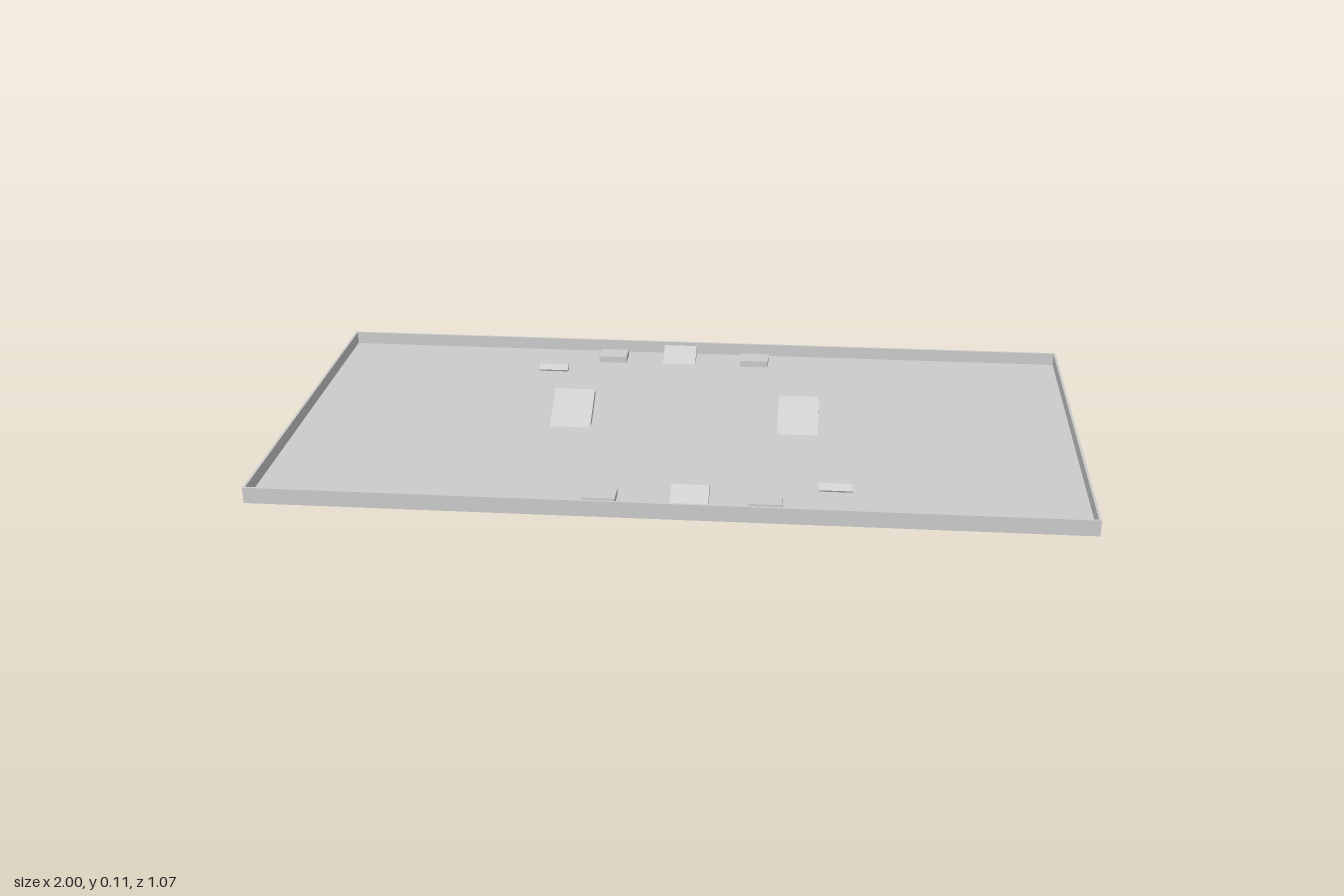
import * as THREE from 'three';

export function createModel() {
  const model = new THREE.Group();
  const material = new THREE.MeshStandardMaterial({ color: 0xcccccc, flatShading: true });

  const addBox = (name, size, position, tilt = 0) => {
    const mesh = new THREE.Mesh(new THREE.BoxGeometry(...size), material);
    mesh.name = name;
    mesh.position.set(...position);
    mesh.rotation.x = tilt;
    model.add(mesh);
  };

  // Shallow tray: floor and four thin walls
  const bottom = 0.043, top = 0.083, halfDepth = 0.533, wall = 0.006, floor = 0.007;
  const height = top - bottom, middle = (top + bottom) / 2;
  addBox('floor', [2, floor, 2 * halfDepth], [0, bottom + floor / 2, 0]);
  for (const s of [-1, 1]) {
    addBox('sideWall', [wall, height, 2 * halfDepth], [s * (1 - wall / 2), middle, 0]);
    addBox('endWall', [2 - 2 * wall, height, wall], [0, middle, s * (halfDepth - wall / 2)]);
  }

  // Large ramps passing through the floor
  const tilt = Math.PI / 6;
  for (const s of [-1, 1]) addBox('largeRamp', [0.105, 0.0175, 0.193], [s * 0.294, 0.057, 0], tilt);

  // Small ramps near the front and back walls
  for (const [x, z] of [[0.053, 0.453], [-0.053, -0.469]])
    addBox('smallRamp', [0.091, 0.014, 0.078], [x, 0.058, z], tilt);

  // Half-sunk little ramps
  for (const [x, z] of [[0.396, 0.354], [-0.396, -0.368]])
    addBox('lowRamp', [0.08, 0.014, 0.022], [x, 0.054, z], tilt);

  // Flat blocks resting on the floor
  for (const [x, z] of [[-0.16, 0.453], [0.234, 0.453], [-0.24, -0.467], [0.158, -0.467]])
    addBox('flatBlock', [0.077, 0.018, 0.06], [x, 0.058, z]);

  return model;
}
